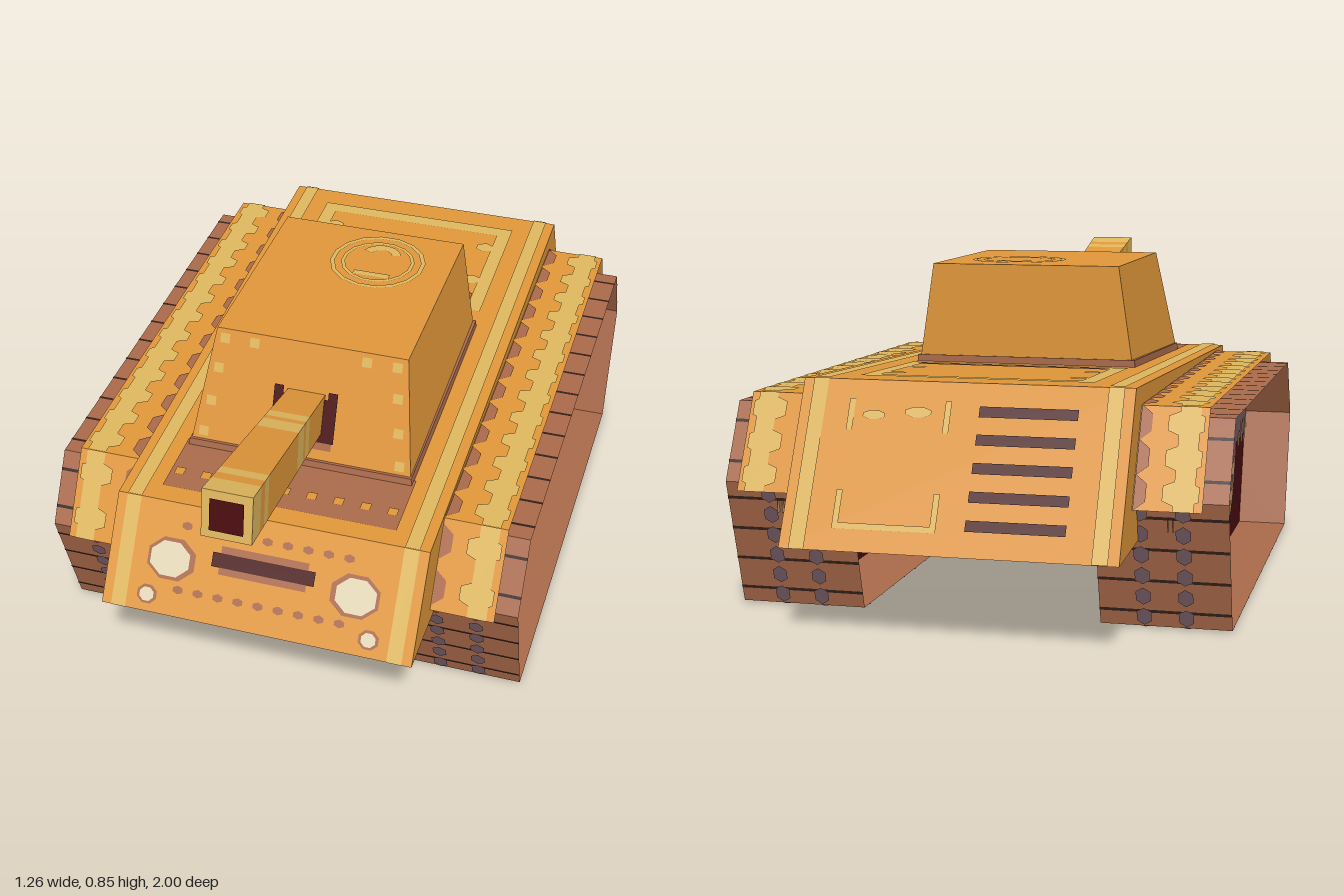
import * as THREE from 'three';

const mat = (name, color) => {
  const m = new THREE.MeshStandardMaterial({ color, side: THREE.DoubleSide });
  m.name = name;
  return m;
};
const M = {
  orange: mat('orange paint', 0xdf9639),
  yellow: mat('yellow trim', 0xddb65e),
  rust: mat('rust brown', 0xa9694a),
  red: mat('dark red', 0x4a0d10),
  purple: mat('dull purple', 0x745b63),
  tan: mat('tan', 0xcf996b),
  cream: mat('cream', 0xe2d5b6),
  dark: mat('dark seam', 0x33201a),
};

// 2D shapes
const poly = (pts) => new THREE.Shape(pts.map(([x, y]) => new THREE.Vector2(x, y)));
const rect = (x0, y0, x1, y1) => poly([[x0, y0], [x1, y0], [x1, y1], [x0, y1]]);
const ngon = (cx, cy, rx, ry = rx, n = 8) => poly(Array.from({ length: n }, (_, i) => {
  const a = ((i + 0.5) / n) * Math.PI * 2;
  return [cx + rx * Math.cos(a), cy + ry * Math.sin(a)];
}));
const withHole = (outer, inner) => { outer.holes.push(inner); return outer; };
const frame = (x0, y0, x1, y1, t) => withHole(rect(x0, y0, x1, y1), rect(x0 + t, y0 + t, x1 - t, y1 - t));
const arcBand = (cx, cy, r0, r1, a0, a1, n = 10) => {
  const side = (r) => Array.from({ length: n + 1 }, (_, i) => {
    const a = a0 + ((a1 - a0) * i) / n;
    return [cx + r * Math.cos(a), cy + r * Math.sin(a)];
  });
  return poly([...side(r1), ...side(r0).reverse()]);
};
const repeat = (from, to, step, fn) => {
  const out = [], n = Math.max(1, Math.round((to - from) / step));
  for (let i = 0; i < n; i++) out.push(fn(from + ((i + 0.5) * (to - from)) / n));
  return out;
};

// Painted thin shapes on a plane with axes u, v
function surface(parent, origin, u, v) {
  const U = new THREE.Vector3(...u), V = new THREE.Vector3(...v).normalize();
  const m = new THREE.Matrix4().makeBasis(U, V, U.clone().cross(V)).setPosition(...origin);
  return (name, material, lift, shapes) => {
    const g = new THREE.ShapeGeometry(shapes).translate(0, 0, lift).applyMatrix4(m);
    add(parent, name, g, material);
  };
}
// Plane across x whose v axis runs from profile point a to b, points as [z, y]
const slope = (parent, a, b) => surface(parent, [0, a[1], a[0]], [1, 0, 0], [0, b[1] - a[1], b[0] - a[0]]);

function add(parent, name, geo, material) {
  const mesh = new THREE.Mesh(geo, material);
  mesh.name = name;
  parent.add(mesh);
}
function group(parent, name) {
  const g = new THREE.Group();
  g.name = name;
  parent.add(g);
  return g;
}
function quads(list) {
  const pos = list.flatMap(([a, b, c, d]) => [a, b, c, a, c, d].flat());
  const g = new THREE.BufferGeometry();
  g.setAttribute('position', new THREE.Float32BufferAttribute(pos, 3));
  g.computeVertexNormals();
  return g;
}
// Bent sheet following a [z, y] profile
const sheet = (p, x0, x1) => quads(p.slice(1).map(([z, y], i) => [
  [x0, p[i][1], p[i][0]], [x1, p[i][1], p[i][0]], [x1, y, z], [x0, y, z]]));
// Solid between two four-cornered loops
const loft = (a, b) => quads([[...a].reverse(), b,
  ...a.map((p, i) => [p, a[(i + 1) % 4], b[(i + 1) % 4], b[i]])]);

function buildHull(root) {
  const g = group(root, 'hull');
  const P = [[0.85, 0.29], [0.69, 0.53], [-0.80, 0.60], [-1.0, 0.22]];
  add(g, 'hullShell', sheet(P, -0.41, 0.41), M.orange);
  for (const s of [-1, 1]) surface(g, [s * 0.41, 0, 0], [0, 0, 1], [0, 1, 0])('hullSide', M.orange, 0, poly(P));

  const faces = P.slice(1).map((b, i) => slope(g, P[i], b));
  const lengths = [0.288, 1.49, 0.429];
  faces.forEach((paint, i) => paint('edgeStripe', M.yellow, 0.003,
    [-1, 1].map((s) => rect(s * 0.365 - 0.019, 0, s * 0.365 + 0.019, lengths[i]))));
  const [front, roof, rear] = faces;

  // Front plate
  front('rivetRow', M.rust, 0.003, [0.07, 0.235].flatMap((v) => repeat(-0.24, 0.24, 0.054, (x) => ngon(x, v, 0.015, 0.011, 6))));
  front('slitBorder', M.rust, 0.003, rect(-0.115, 0.13, 0.115, 0.203));
  front('visionSlit', M.red, 0.006, rect(-0.135, 0.148, 0.135, 0.185));
  for (const s of [-1, 1]) {
    front('lampRing', M.rust, 0.003, [ngon(s * 0.242, 0.145, 0.068, 0.058), ngon(s * 0.293, 0.045, 0.028, 0.026)]);
    front('headlamp', M.cream, 0.006, [ngon(s * 0.245, 0.145, 0.056, 0.048), ngon(s * 0.293, 0.045, 0.02, 0.019)]);
  }
  // Roof
  roof('frontDeck', M.rust, 0.003, rect(-0.31, 0.05, 0.31, 0.24));
  roof('deckRivets', M.orange, 0.006, repeat(-0.32, 0.32, 0.07, (x) => ngon(x, 0.11, 0.018, 0.018, 4)));
  roof('engineFrame', M.yellow, 0.003, frame(-0.295, 0.99, 0.295, 1.42, 0.04));
  roof('engineTabs', M.yellow, 0.003, [-1, 1].flatMap((s) => [1.14, 1.31].map((v) => ngon(s * 0.235, v, 0.028, 0.022, 6))));
  roof('engineGap', M.rust, 0.005, rect(-0.255, 1.035, 0.255, 1.07));
  // Rear plate
  rear('ventSlats', M.red, 0.004, [0.06, 0.13, 0.2, 0.27, 0.34].map((v) => rect(-0.28, v, -0.04, v + 0.027)));
  rear('hatchOutline', M.yellow, 0.003, [
    rect(0.03, 0.05, 0.045, 0.13), rect(0.27, 0.05, 0.285, 0.13), rect(0.03, 0.28, 0.045, 0.36),
    rect(0.27, 0.28, 0.285, 0.36), rect(0.03, 0.36, 0.285, 0.375), ngon(0.11, 0.08, 0.035, 0.014), ngon(0.22, 0.09, 0.03, 0.012)]);
}

function buildTurret(root) {
  const g = group(root, 'turret');
  const loop = (x, zf, zb, yf, yb = yf) => [[-x, yf, zf], [x, yf, zf], [x, yb, zb], [-x, yb, zb]];
  add(g, 'turretBody', loft(loop(0.30, 0.47, -0.23, 0.535), loop(0.255, 0.345, -0.23, 0.84)), M.orange);
  add(g, 'turretBase', loft(loop(0.305, 0.476, -0.234, 0.53), loop(0.30, 0.467, -0.234, 0.56, 0.592)), M.rust);

  const front = slope(g, [0.47, 0.535], [0.345, 0.84]);
  front('mantletLip', M.rust, 0.003, rect(-0.08, 0.055, 0.08, 0.08));
  front('mantletOpening', M.red, 0.005, [rect(-0.085, 0.075, 0.085, 0.19), rect(-0.085, 0.19, -0.06, 0.21), rect(0.06, 0.19, 0.085, 0.21)]);
  front('turretRivets', M.yellow, 0.003, [[0.23, 0.305], [0.15, 0.305], [0.24, 0.225], [0.252, 0.135], [0.265, 0.05]]
    .flatMap(([x, v]) => [ngon(x, v, 0.018, 0.018, 4), ngon(-x, v, 0.018, 0.018, 4)]));
  const top = surface(g, [0.055, 0.84, -0.07], [1, 0, 0], [0, 0, -1]);
  top('hatchRing', M.yellow, 0.003, [withHole(ngon(0, 0, 0.13, 0.13, 16), ngon(0, 0, 0.118, 0.118, 16)),
    withHole(ngon(0, 0, 0.1, 0.1, 16), ngon(0, 0, 0.09, 0.09, 16)),
    arcBand(0, 0.03, 0.03, 0.055, 0.3, 2.8), rect(-0.05, -0.075, 0.05, -0.055)]);

  // Tapered square gun barrel, coloured in bands
  const barrel = group(g, 'barrel');
  const section = (t) => {
    const z = 0.40 + 0.585 * t, y = 0.672 + 0.113 * t, h = 0.05 + 0.0125 * t;
    return [[-1, -1], [1, -1], [1, 1], [-1, 1]].map(([a, b]) => [a * h, y + b * h * 0.982, z - b * h * 0.19]);
  };
  const cuts = [-0.2, 0.24, 0.29, 0.32, 0.4, 0.8, 0.85, 0.9, 1];
  cuts.slice(1).forEach((t, i) => add(barrel, i % 2 ? 'barrelBand' : 'barrelTube',
    loft(section(cuts[i]), section(t)), i % 2 ? M.yellow : M.orange));
  surface(barrel, [0, 0.785, 0.985], [1, 0, 0], [0, 0.982, -0.19])('muzzleBore', M.red, 0.003, rect(-0.042, -0.042, 0.042, 0.042));
}

function buildFender(root, s) {
  const g = group(root, s > 0 ? 'leftFender' : 'rightFender');
  const P = [[0.675, 0.325], [0.55, 0.527], [-0.73, 0.55], [-0.85, 0.32]];
  add(g, 'fenderSheet', sheet(P, Math.min(s * 0.41, s * 0.575), Math.max(s * 0.41, s * 0.575)), M.orange);
  P.slice(1).forEach((b, i) => {
    const paint = slope(g, P[i], b), len = Math.hypot(b[0] - P[i][0], b[1] - P[i][1]);
    paint('fenderStripe', M.yellow, 0.003, rect(s * 0.53 - 0.025, 0, s * 0.53 + 0.025, len));
    paint('fenderScallops', M.yellow, 0.004, repeat(0, len, 0.1, (v) => ngon(s * 0.522, v, 0.05, 0.037, 6)));
    paint('fenderEdge', M.rust, 0.003, repeat(0, len, 0.1, (v) =>
      poly([[s * 0.412, v - 0.045], [s * 0.44, v - 0.022], [s * 0.44, v + 0.022], [s * 0.412, v + 0.045]])));
  });
}

function buildTrack(root, s) {
  const g = group(root, s > 0 ? 'leftTrack' : 'rightTrack');
  const P = [[0.54, 0], [0.645, 0.33], [0.54, 0.50], [-0.69, 0.52], [-0.79, 0.33], [-0.69, 0]];
  const ring = [...P, P[0]], c = s * 0.4675, w = 0.1625;
  add(g, 'trackBelt', sheet(ring, c - w, c + w), M.rust);
  ring.slice(1).forEach((b, i) => {
    const paint = slope(g, ring[i], b), len = Math.hypot(b[0] - ring[i][0], b[1] - ring[i][1]);
    paint('treadSeams', M.dark, 0.002, repeat(0, len, 0.095, (v) => rect(c - w, v - 0.004, c + w, v + 0.004)));
    paint('treadStuds', M.purple, 0.004, repeat(0, len, 0.062, (v) => v)
      .flatMap((v) => [-0.052, 0.052].map((x) => ngon(c + x, v, 0.021, 0.024, 6))));
  });

  // Recessed wheel panel, painted alike on both sides
  const paint = surface(g, [s * 0.49, 0, 0], [0, 0, 1], [0, 1, 0]);
  paint('wheelPanel', M.red, 0, poly(P));
  const wheels = [0.16, -0.33];
  const bowl = (z) => arcBand(z, 0.27, 0, 0.25, Math.PI, Math.PI * 2);
  const drips = [[0.43, 0.22, 0.36], [0.08, -0.24, 0.3], [-0.42, -0.62, 0.37]];
  const skirt = poly([[0.645, 0.33], [0.54, 0.5],
    ...drips.flatMap(([z0, z1, y]) => {
      const m = (z0 + z1) / 2;
      return [[z0, 0.505], [z0 - 0.03, 0.45], [m + 0.03, 0.43], [m + 0.012, y], [m - 0.012, y], [m - 0.03, 0.43], [z1 + 0.03, 0.45], [z1, 0.51]];
    }),
    [-0.69, 0.515], [-0.79, 0.33], [-0.765, 0.27], [0.62, 0.27]]);
  const checks = [0.6, 0.53, 0.46, -0.6, -0.67, -0.74].flatMap((z) => [
    rect(z - 0.018, 0.285, z + 0.018, 0.325), rect(z - 0.045, 0.255, z - 0.005, 0.29)]);
  const rims = wheels.flatMap((z) => [
    arcBand(z, 0.24, 0.165, 0.2, Math.PI, Math.PI * 2), rect(z - 0.13, 0.12, z + 0.13, 0.15),
    rect(z - 0.1, 0.065, z + 0.1, 0.09), frame(z - 0.07, 0.14, z + 0.07, 0.25, 0.036),
    rect(z - 0.2, 0.19, z - 0.165, 0.27), rect(z - 0.13, 0.17, z - 0.1, 0.26), rect(z + 0.12, 0.19, z + 0.2, 0.225)]);
  for (const d of [-1, 1]) {
    paint('panelSkirt', M.purple, d * 0.003, [skirt, ...wheels.map(bowl)]);
    paint('wheelMarkings', M.tan, d * 0.006, [...rims, ...checks]);
  }
}

export function createModel() {
  const root = new THREE.Group();
  root.name = 'tank';
  buildHull(root);
  buildTurret(root);
  for (const s of [-1, 1]) {
    buildFender(root, s);
    buildTrack(root, s);
  }
  return root;
}
